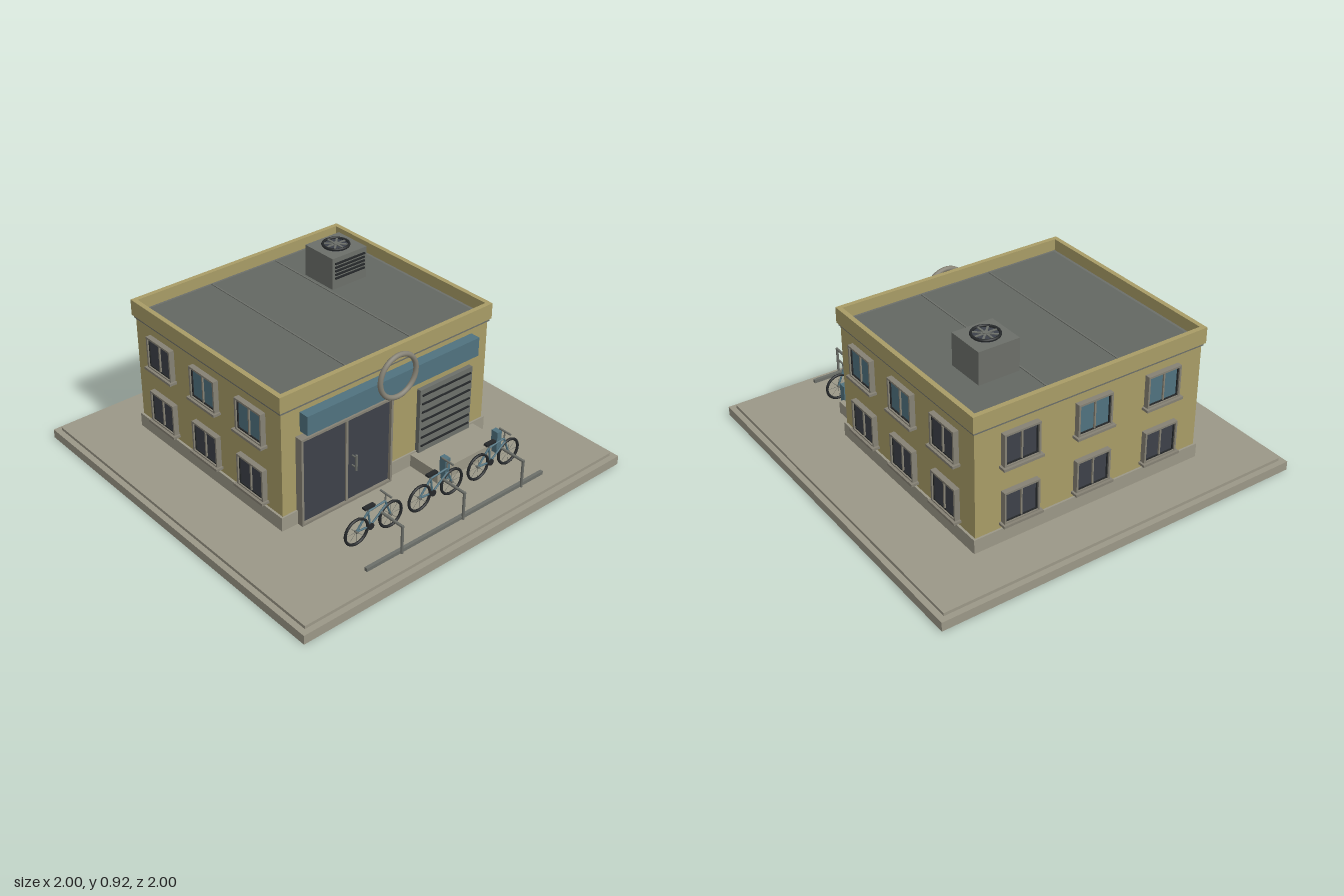
import * as THREE from 'three';

const mat = (name, color, side = THREE.FrontSide) => {
  const m = new THREE.MeshStandardMaterial({ color, side });
  m.name = name;
  return m;
};

export function createModel() {
  const concrete = mat('concrete', 0x9b9787);
  const ochre = mat('ochre wall', 0xa89c66);
  const roofGrey = mat('roof grey', 0x636762);
  const metal = mat('grey metal', 0x6c6f69);
  const frameGrey = mat('frame grey', 0x858174);
  const blue = mat('blue paint', 0x50727f);
  const darkGlass = mat('dark glass', 0x3d4149);
  const black = mat('black rubber', 0x25282a);

  const model = new THREE.Group();
  model.name = 'bikeDepot';

  const add = (parent, name, geo, material, x = 0, y = 0, z = 0) => {
    const m = new THREE.Mesh(geo, material);
    m.name = name;
    m.position.set(x, y, z);
    parent.add(m);
    return m;
  };
  // Box given by its limits on each axis
  const box = (parent, name, material, x0, x1, y0, y1, z0, z1) =>
    add(parent, name, new THREE.BoxGeometry(x1 - x0, y1 - y0, z1 - z0), material,
      (x0 + x1) / 2, (y0 + y1) / 2, (z0 + z1) / 2);
  // Round bar between two points
  const rod = (parent, name, material, a, b, r, sides = 8) => {
    const A = new THREE.Vector3(...a), B = new THREE.Vector3(...b);
    const d = B.clone().sub(A);
    const m = add(parent, name, new THREE.CylinderGeometry(r, r, d.length(), sides), material);
    m.position.copy(A).add(B).multiplyScalar(0.5);
    m.quaternion.setFromUnitVectors(new THREE.Vector3(0, 1, 0), d.normalize());
    return m;
  };
  const group = (name, parent = model) => {
    const g = new THREE.Group();
    g.name = name;
    parent.add(g);
    return g;
  };
  // Four-sided upright frame, front face towards +z
  const frame = (parent, name, material, x0, x1, y0, y1, z0, z1, w) => {
    box(parent, name, material, x0, x0 + w, y0, y1, z0, z1);
    box(parent, name, material, x1 - w, x1, y0, y1, z0, z1);
    box(parent, name, material, x0 + w, x1 - w, y1 - w, y1, z0, z1);
    box(parent, name, material, x0 + w, x1 - w, y0, y0 + w, z0, z1);
  };

  // Ground slab
  box(model, 'slab', concrete, -1, 1, 0, 0.048, -1, 1);
  box(model, 'slabTop', concrete, -0.97, 0.97, 0.048, 0.064, -0.97, 0.97);

  // Building shell
  box(model, 'plinth', concrete, -0.648, 0.648, 0.064, 0.138, -0.725, 0.415);
  box(model, 'walls', ochre, -0.636, 0.636, 0.138, 0.715, -0.715, 0.406);
  box(model, 'corniceTrim', metal, -0.643, 0.643, 0.69, 0.705, -0.722, 0.413);

  // Parapet ring, extruded upwards
  const rect = (S, w, z0, z1) => {
    const s = new S();
    s.moveTo(-w, -z1); s.lineTo(w, -z1); s.lineTo(w, -z0); s.lineTo(-w, -z0); s.closePath();
    return s;
  };
  const ring = rect(THREE.Shape, 0.65, -0.73, 0.42);
  ring.holes.push(rect(THREE.Path, 0.625, -0.705, 0.395));
  const parapet = add(model, 'parapet',
    new THREE.ExtrudeGeometry(ring, { depth: 0.083, bevelEnabled: false }), ochre, 0, 0.704, 0);
  parapet.rotation.x = -Math.PI / 2;

  // Roof deck, edge gutter and seams
  box(model, 'roofGutter', metal, -0.626, 0.626, 0.712, 0.726, -0.706, 0.396);
  box(model, 'roofDeck', roofGrey, -0.605, 0.605, 0.72, 0.731, -0.685, 0.375);
  for (const x of [-0.2, 0.2]) box(model, 'roofSeam', metal, x - 0.004, x + 0.004, 0.73, 0.735, -0.685, 0.375);

  // Rooftop cooling unit
  const unit = group('coolingUnit');
  box(unit, 'unitBody', metal, 0.22, 0.44, 0.73, 0.9, -0.465, -0.255);
  for (let i = 0; i < 5; i++) {
    const y = 0.79 + i * 0.02;
    box(unit, 'louvre', black, 0.235, 0.425, y - 0.004, y + 0.004, -0.255, -0.246);
  }
  const fan = group('fan', unit);
  fan.position.set(0.33, 0.9, -0.36);
  add(fan, 'fanWell', new THREE.CylinderGeometry(0.066, 0.066, 0.006, 32), darkGlass, 0, 0.003, 0);
  add(fan, 'fanRing', new THREE.TorusGeometry(0.066, 0.007, 8, 32), black, 0, 0.01, 0).rotation.x = Math.PI / 2;
  add(fan, 'fanHub', new THREE.CylinderGeometry(0.014, 0.014, 0.012, 16), metal, 0, 0.01, 0);
  for (let i = 0; i < 8; i++) {
    const blade = group('blade', fan);
    blade.rotation.y = i * Math.PI / 4;
    box(blade, 'fanBlade', metal, 0.01, 0.062, 0.008, 0.012, -0.005, 0.005);
  }

  // Windows: frame, glass, mullion and sill, local wall plane at z = 0
  const addWindow = (x, y, z, turn, lit) => {
    const g = group('window');
    g.position.set(x, y, z);
    g.rotation.y = turn;
    frame(g, 'windowFrame', frameGrey, -0.097, 0.097, -0.085, 0.087, 0, 0.028, 0.01);
    frame(g, 'windowGasket', black, -0.087, 0.087, -0.075, 0.077, 0, 0.02, 0.006);
    box(g, 'windowPane', lit ? blue : darkGlass, -0.082, 0.082, -0.07, 0.072, 0, 0.014);
    box(g, 'windowMullion', frameGrey, -0.004, 0.004, -0.07, 0.072, 0.012, 0.022);
    box(g, 'windowSill', frameGrey, -0.108, 0.108, -0.094, -0.081, 0, 0.041);
  };
  for (const y of [0.252, 0.558]) {
    const upper = y > 0.4;
    for (const z of [0.2, -0.15, -0.5]) {
      for (const s of [1, -1]) addWindow(s * 0.636, y, z, s * Math.PI / 2, upper && z > -0.4);
    }
    for (const x of [-0.4, 0, 0.4]) addWindow(x, y, -0.715, Math.PI, upper && x < 0.2);
  }

  // Sign board with ring emblem
  box(model, 'signBoard', blue, -0.53, 0.53, 0.56, 0.66, 0.406, 0.46);
  add(model, 'signRing', new THREE.TorusGeometry(0.11, 0.013, 12, 48), frameGrey, 0, 0.662, 0.467);

  // Double entrance door
  const door = group('entranceDoor');
  frame(door, 'doorFrame', frameGrey, -0.556, -0.006, 0.064, 0.54, 0.4, 0.448, 0.012);
  for (const x of [-0.544, -0.277]) box(door, 'doorLeaf', darkGlass, x, x + 0.259, 0.075, 0.528, 0.4, 0.432);
  box(door, 'doorPost', frameGrey, -0.288, -0.275, 0.075, 0.528, 0.4, 0.44);
  rod(door, 'doorHandle', metal, [-0.244, 0.245, 0.462], [-0.244, 0.33, 0.462], 0.006);
  for (const y of [0.26, 0.315]) rod(door, 'handleMount', metal, [-0.244, y, 0.43], [-0.244, y, 0.462], 0.004);

  // Roller shutter
  const shutter = group('rollerShutter');
  box(shutter, 'shutterPanel', metal, 0.183, 0.527, 0.1, 0.487, 0.4, 0.43);
  for (let i = 0; i < 7; i++) {
    const y = 0.168 + i * 0.048;
    box(shutter, 'shutterGroove', black, 0.195, 0.515, y - 0.004, y + 0.004, 0.43, 0.437);
  }

  // Loading dock and bumpers
  box(model, 'loadingDock', concrete, 0.145, 0.568, 0.064, 0.13, 0.4, 0.605);
  for (const x of [0.178, 0.527]) box(model, 'dockBumper', blue, x - 0.015, x + 0.015, 0.09, 0.21, 0.596, 0.636);

  // Bicycles, origin under the rear hub
  const addBike = (x0) => {
    const b = group('bicycle');
    b.position.set(x0, 0, 0.711);
    const rear = [0, 0.145, 0], front = [0.205, 0.145, 0], crank = [0.082, 0.138, 0];
    const seat = [0.068, 0.225, 0], head = [0.17, 0.235, 0], lowHead = [0.176, 0.212, 0];
    for (const h of [rear, front]) {
      add(b, 'tyre', new THREE.TorusGeometry(0.066, 0.007, 8, 32), black, ...h);
      rod(b, 'hub', metal, [h[0], h[1], -0.01], [h[0], h[1], 0.01], 0.006);
      for (let i = 0; i < 4; i++) {
        const c = 0.066 * Math.cos(i * Math.PI / 4), s = 0.066 * Math.sin(i * Math.PI / 4);
        rod(b, 'spoke', metal, [h[0] - c, h[1] - s, 0], [h[0] + c, h[1] + s, 0], 0.001, 4);
      }
    }
    const tubes = [[rear, crank], [rear, seat], [crank, seat], [seat, head], [crank, lowHead], [head, front]];
    for (const [p, q] of tubes) rod(b, 'frameTube', blue, p, q, 0.005);
    rod(b, 'seatPost', metal, seat, [0.064, 0.25, 0], 0.004);
    box(b, 'saddle', black, 0.042, 0.103, 0.245, 0.256, -0.011, 0.011);
    rod(b, 'stem', metal, head, [0.174, 0.272, 0], 0.004);
    rod(b, 'handlebar', metal, [0.174, 0.272, -0.037], [0.174, 0.272, 0.037], 0.005);
    add(b, 'chainring', new THREE.CylinderGeometry(0.017, 0.017, 0.006, 20), black, 0.082, 0.138, 0.006)
      .rotation.x = Math.PI / 2;
  };
  for (const x of [-0.46, -0.075, 0.306]) addBike(x);

  // Bike rack: low rail with bent posts
  const rack = group('bikeRack');
  box(rack, 'rackRail', metal, -0.563, 0.557, 0.09, 0.108, 0.883, 0.9);
  for (const x of [-0.36, 0.02, 0.405]) {
    rod(rack, 'rackPost', metal, [x, 0.09, 0.902], [x, 0.242, 0.902], 0.007);
    rod(rack, 'rackArm', metal, [x, 0.237, 0.908], [x, 0.237, 0.765], 0.007);
  }
  return model;
}
